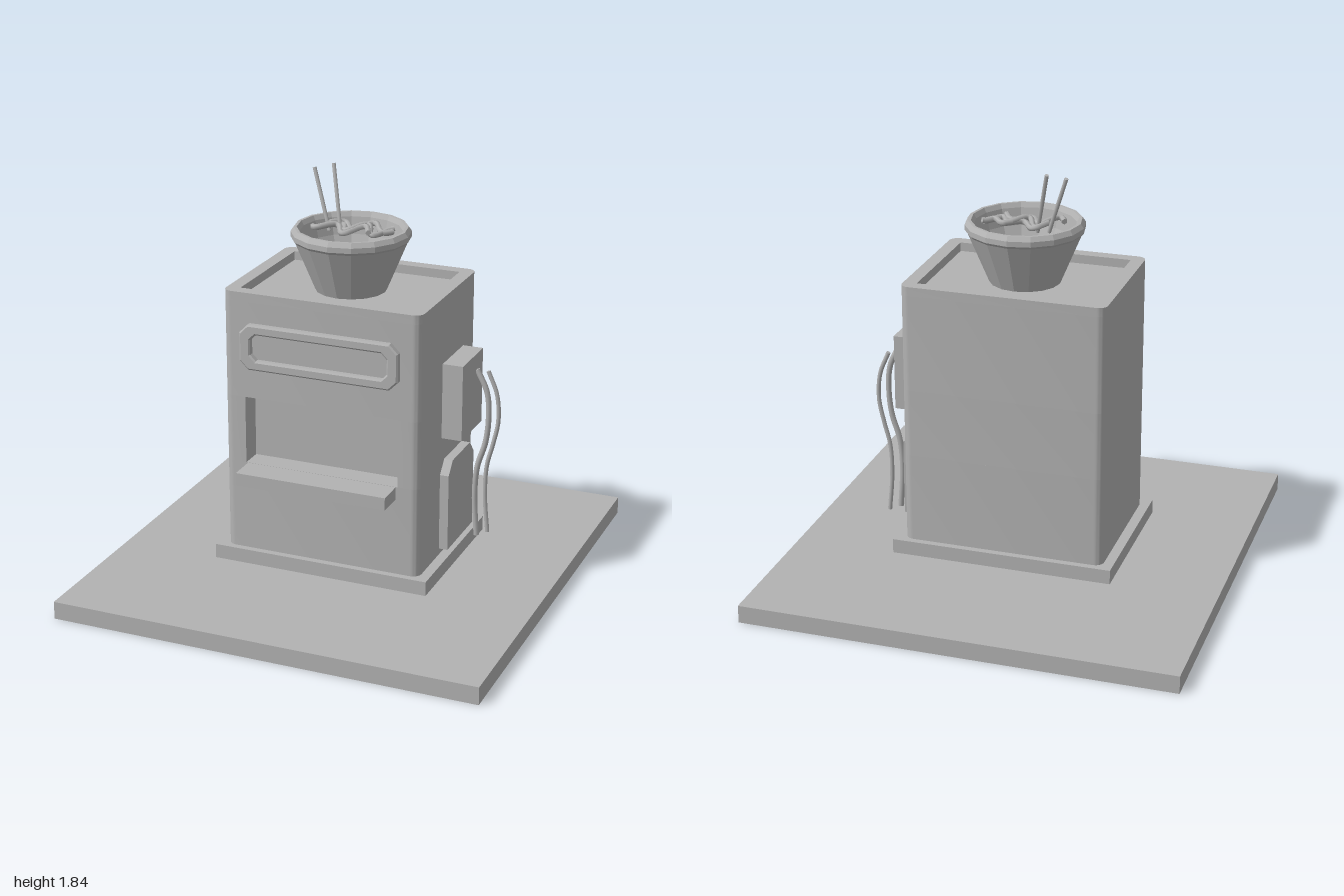
import * as THREE from 'three';
import { toCreasedNormals } from 'three/addons/utils/BufferGeometryUtils.js';

export function createModel() {
  const model = new THREE.Group();
  model.name = 'noodleMachine';
  const grey = new THREE.MeshStandardMaterial({ color: 0xb2b2b2 });
  grey.name = 'grey';

  function add(name, geometry, parent = model) {
    const mesh = new THREE.Mesh(geometry, grey);
    mesh.name = name;
    parent.add(mesh);
    return mesh;
  }

  // Box given by its limits on each axis
  function box(name, x0, x1, y0, y1, z0, z1) {
    const mesh = add(name, new THREE.BoxGeometry(x1 - x0, y1 - y0, z1 - z0));
    mesh.position.set((x0 + x1) / 2, (y0 + y1) / 2, (z0 + z1) / 2);
  }

  const vec = (list) => list.map((p) => new THREE.Vector3(...p));
  const polygon = (list) => list.map((p) => new THREE.Vector2(...p));

  // Rectangle outline with cut corners, half sizes w and h
  const cutRect = (w, h, c) => polygon([
    [-w + c, -h], [w - c, -h], [w, -h + c], [w, h - c],
    [w - c, h], [-w + c, h], [-w, h - c], [-w, -h + c],
  ]);

  // Base slab and plinth
  box('groundSlab', -0.967, 0.967, 0, 0.08, -1, 1);
  box('plinth', -0.5, 0.5, 0.1, 0.165, -0.37, 0.37);

  // Cabinet footprint with rounded corners; shape y points to the back
  const W = 0.455, D = 0.34, R = 0.04;
  function footprint(notch) {
    const s = new THREE.Shape();
    s.moveTo(-W + R, -D);
    if (notch) {
      s.lineTo(-0.355, -D);
      s.lineTo(-0.355, -D + 0.1);
      s.lineTo(0.355, -D + 0.1);
      s.lineTo(0.355, -D);
    }
    s.lineTo(W - R, -D);
    s.absarc(W - R, -D + R, R, -Math.PI / 2, 0, false);
    s.absarc(W - R, D - R, R, 0, Math.PI / 2, false);
    s.absarc(-W + R, D - R, R, Math.PI / 2, Math.PI, false);
    s.absarc(-W + R, -D + R, R, Math.PI, Math.PI * 1.5, false);
    return s;
  }
  const cabinet = new THREE.Group();
  cabinet.name = 'cabinet';
  model.add(cabinet);
  function storey(name, shape, y0, y1) {
    const g = new THREE.ExtrudeGeometry(shape, { depth: y1 - y0, bevelEnabled: false, curveSegments: 4 });
    g.rotateX(-Math.PI / 2).translate(0, y0, 0);
    add(name, toCreasedNormals(g, 0.6), cabinet);
  }
  const rim = footprint(false);
  rim.holes.push(new THREE.Path(polygon([[-0.395, -0.283], [-0.395, 0.283], [0.395, 0.283], [0.395, -0.283]])));
  storey('cabinetLower', footprint(false), 0.165, 0.573);
  storey('cabinetServingBay', footprint(true), 0.573, 0.88);
  storey('cabinetUpper', footprint(false), 0.88, 1.315);
  storey('cabinetTopRim', rim, 1.315, 1.355);

  // Serving shelf
  box('servingShelf', -0.347, 0.347, 0.515, 0.572, 0.33, 0.465);

  // Sign frame around a sunken panel
  const frame = new THREE.Shape(cutRect(0.357, 0.095, 0.035));
  frame.holes.push(new THREE.Path(cutRect(0.321, 0.066, 0.03).reverse()));
  const frameGeo = new THREE.ExtrudeGeometry(frame, {
    depth: 0.023, bevelThickness: 0.006, bevelSize: 0.007, bevelSegments: 1,
  });
  add('signFrame', frameGeo).position.set(0, 1.122, 0.346);
  box('signPanel', -0.325, 0.325, 1.055, 1.19, 0.335, 0.347);

  // Control box and cut-corner panel on the left side
  box('controlBox', 0.45, 0.547, 0.715, 1.057, -0.18, 0.077);
  const sidePanel = new THREE.Shape(polygon([
    [-0.13, 0.215], [0.19, 0.215], [0.19, 0.565], [0.14, 0.622], [-0.08, 0.622], [-0.13, 0.565],
  ]));
  const sideGeo = new THREE.ExtrudeGeometry(sidePanel, { depth: 0.04, bevelEnabled: false });
  add('sidePanel', sideGeo.rotateY(Math.PI / 2).translate(0.47, 0, 0));

  // Tube through points, closed by flat ends
  function tube(name, points, radius, steps, sides) {
    const curve = new THREE.CatmullRomCurve3(vec(points));
    add(name, new THREE.TubeGeometry(curve, steps, radius, sides));
    [0, 1].forEach((t) => {
      const cap = add(name + 'End', new THREE.CircleGeometry(radius, sides));
      const dir = curve.getTangentAt(t).multiplyScalar(t ? 1 : -1);
      cap.position.copy(curve.getPointAt(t));
      cap.quaternion.setFromUnitVectors(new THREE.Vector3(0, 0, 1), dir);
    });
  }

  // Hanging cables
  tube('thickCable', [
    [0.55, 0.985, -0.102], [0.597, 0.885, -0.102], [0.607, 0.77, -0.102], [0.595, 0.65, -0.102],
    [0.56, 0.53, -0.102], [0.55, 0.39, -0.102], [0.562, 0.2, -0.102],
  ], 0.013, 32, 8);
  tube('thinCable', [
    [0.585, 0.965, -0.15], [0.627, 0.86, -0.15], [0.636, 0.74, -0.15], [0.615, 0.63, -0.15],
    [0.588, 0.52, -0.15], [0.582, 0.38, -0.15], [0.597, 0.2, -0.15],
  ], 0.01, 32, 8);

  // Faceted bowl: outside wall, rolled lip, inside wall and floor
  const bowlGeo = new THREE.LatheGeometry(polygon([
    [0, 1.317], [0.157, 1.317], [0.25, 1.54], [0.261, 1.552], [0.261, 1.575], [0.247, 1.595],
    [0.234, 1.595], [0.222, 1.575], [0.205, 1.5], [0.145, 1.37], [0, 1.37],
  ]), 16);
  add('bowl', toCreasedNormals(bowlGeo, 0.2));

  // Wavy noodles
  const noodles = [
    { x0: -0.165, x1: 0.1, z: 0.02, amp: 0.045, phase: 0.3 },
    { x0: -0.11, x1: 0.175, z: -0.045, amp: 0.04, phase: 2.6 },
    { x0: -0.07, x1: 0.175, z: -0.01, amp: 0.05, phase: 4.4 },
  ];
  noodles.forEach(({ x0, x1, z, amp, phase }, n) => {
    const points = [];
    for (let i = 0; i <= 16; i++) {
      const t = i / 16;
      points.push([
        x0 + (x1 - x0) * t,
        1.587 + 0.008 * Math.sin(t * 9 + n * 2),
        z + amp * Math.sin(t * 13 + phase),
      ]);
    }
    tube('noodle' + (n + 1), points, 0.013, 48, 6);
  });

  // Chopsticks
  tube('chopstick1', [[-0.115, 1.555, -0.03], [-0.206, 1.815, -0.082]], 0.009, 1, 8);
  tube('chopstick2', [[-0.067, 1.555, -0.04], [-0.13, 1.833, -0.115]], 0.009, 1, 8);

  return model;
}
